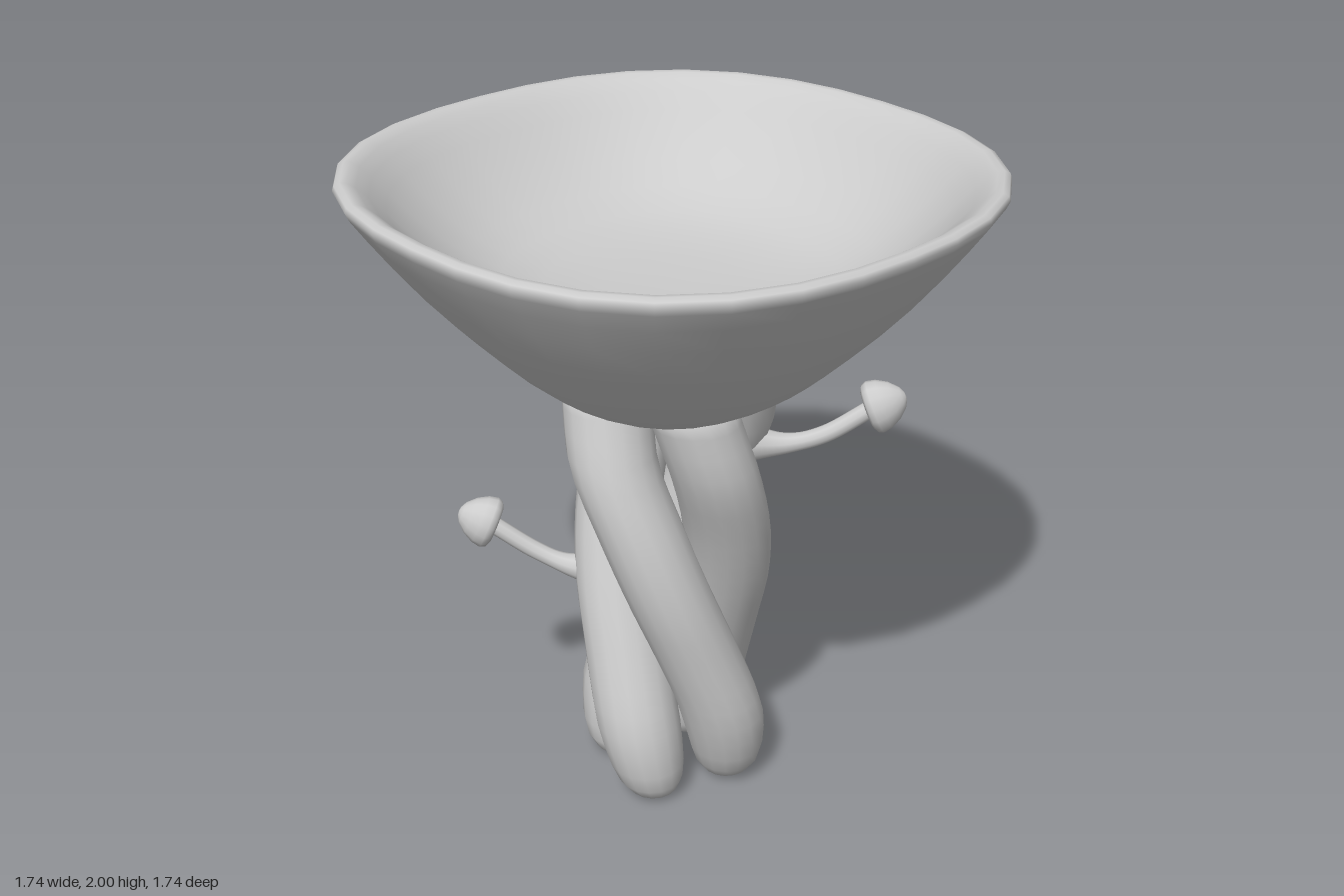
import * as THREE from 'three';
import { mergeVertices } from 'three/addons/utils/BufferGeometryUtils.js';

const stone = new THREE.MeshStandardMaterial({ color: 0xcccccc });
stone.name = 'plainGrey';

// Weld seams so the surface shades smoothly
function smooth(geometry) {
  geometry.deleteAttribute('uv');
  geometry.deleteAttribute('normal');
  const welded = mergeVertices(geometry, 1e-5);
  welded.computeVertexNormals();
  return welded;
}

// Lathe whose vertices are moved by a rule
function shapedLathe(profile, sides, rule) {
  const geometry = new THREE.LatheGeometry(profile.map(([r, y]) => new THREE.Vector2(r, y)), sides);
  const position = geometry.attributes.position;
  const v = new THREE.Vector3();
  for (let i = 0; i < position.count; i++) {
    v.fromBufferAttribute(position, i);
    if (rule) rule(v);
    position.setXYZ(i, v.x, v.y, v.z);
  }
  return smooth(geometry);
}

function part(name, geometry) {
  const mesh = new THREE.Mesh(geometry, stone);
  mesh.name = name;
  return mesh;
}

// Rounded-square bowl: outside, rim, then the shallower inside
function makeBowl() {
  const profile = [
    [0, 1.355], [0.15, 1.358], [0.27, 1.366], [0.35, 1.385], [0.4, 1.415], [0.45, 1.458], [0.52, 1.528],
    [0.6, 1.612], [0.68, 1.705], [0.76, 1.81], [0.82, 1.895], [0.86, 1.955], [0.87, 1.978], [0.865, 1.992],
    [0.85, 1.999], [0.832, 1.997], [0.81, 1.983], [0.78, 1.955], [0.74, 1.91], [0.69, 1.855], [0.62, 1.79],
    [0.54, 1.733], [0.45, 1.69], [0.34, 1.664], [0.2, 1.652], [0, 1.648],
  ];
  return part('bowl', shapedLathe(profile, 32, (v) => {
    const r = Math.hypot(v.x, v.z);
    if (r < 1e-5) return;
    const n = 2.38;
    const k = Math.pow(Math.pow(Math.abs(v.x / r), n) + Math.pow(Math.abs(v.z / r), n), -1 / n);
    v.x *= k;
    v.z *= k;
  }));
}

// One leaning stalk; the other three are quarter turns of it
function makeStalkGeometry() {
  const path = new THREE.CatmullRomCurve3([
    [0.09, 0, 0.155], [0.075, 0.12, 0.172], [0.035, 0.3, 0.18], [-0.035, 0.5, 0.155],
    [-0.116, 0.72, 0.118], [-0.172, 0.93, 0.06], [-0.205, 1.15, -0.025], [-0.185, 1.3, -0.07], [-0.165, 1.42, -0.1],
  ].map((p) => new THREE.Vector3(...p)));
  const samples = path.getPoints(160);
  const profile = [[0, 0], [0.045, 0.008], [0.075, 0.028], [0.1, 0.07], [0.115, 0.13], [0.124, 0.2]];
  for (let y = 0.27; y < 1.41; y += 0.07) profile.push([0.13, y]);
  profile.push([0, 1.4]);
  return shapedLathe(profile, 16, (v) => {
    const i = Math.max(1, samples.findIndex((s) => s.y >= v.y));
    const a = samples[i - 1], b = samples[i];
    const t = (v.y - a.y) / (b.y - a.y);
    v.x += a.x + (b.x - a.x) * t;
    v.z += a.z + (b.z - a.z) * t;
  });
}

// Small sprout: bent stem flaring at its root, with a domed cap
function makeSprout(name, points, rim) {
  const group = new THREE.Group();
  group.name = name;
  const end = new THREE.Vector3(...rim);
  const path = new THREE.CatmullRomCurve3([...points.map((p) => new THREE.Vector3(...p)), end]);
  const steps = 24, sides = 10;
  const stem = new THREE.TubeGeometry(path, steps, 0.027, sides);
  const position = stem.attributes.position;
  const v = new THREE.Vector3();
  for (let i = 0; i < position.count; i++) {
    const t = Math.floor(i / (sides + 1)) / steps;
    const flare = 1 + 1.8 * Math.pow(Math.max(0, 1 - t / 0.5), 2);
    const centre = path.getPointAt(t);
    v.fromBufferAttribute(position, i).sub(centre).multiplyScalar(flare).add(centre);
    position.setXYZ(i, v.x, v.y, v.z);
  }
  group.add(part('sproutStem', smooth(stem)));

  // Cap leans outward and is narrower sideways
  const cap = part('sproutCap', shapedLathe([
    [0, -0.012], [0.03, -0.016], [0.06, -0.018], [0.077, -0.01], [0.084, 0.006], [0.078, 0.034],
    [0.06, 0.066], [0.034, 0.092], [0.014, 0.102], [0, 0.104],
  ], 14));
  cap.rotation.set(Math.atan2(Math.SQRT2, 0.6), Math.atan2(Math.sign(rim[0]), Math.sign(rim[2])), 0, 'YXZ');
  cap.scale.x = 0.82;
  cap.position.copy(end);
  group.add(cap);
  return group;
}

export function createModel() {
  const model = new THREE.Group();
  model.name = 'twistedPedestalBowl';
  model.add(makeBowl());

  const stalkGeometry = makeStalkGeometry();
  for (let i = 0; i < 4; i++) {
    const stalk = part('stalk' + (i + 1), stalkGeometry);
    stalk.rotation.y = i * Math.PI / 2;
    model.add(stalk);
  }

  model.add(makeSprout('lowerSprout',
    [[-0.14, 0.71, 0.14], [-0.23, 0.718, 0.215], [-0.31, 0.755, 0.275]], [-0.413, 0.845, 0.368]));
  model.add(makeSprout('upperSprout',
    [[0.07, 1.11, -0.2], [0.17, 1.105, -0.31], [0.245, 1.135, -0.39]], [0.335, 1.22, -0.5]));
  return model;
}
